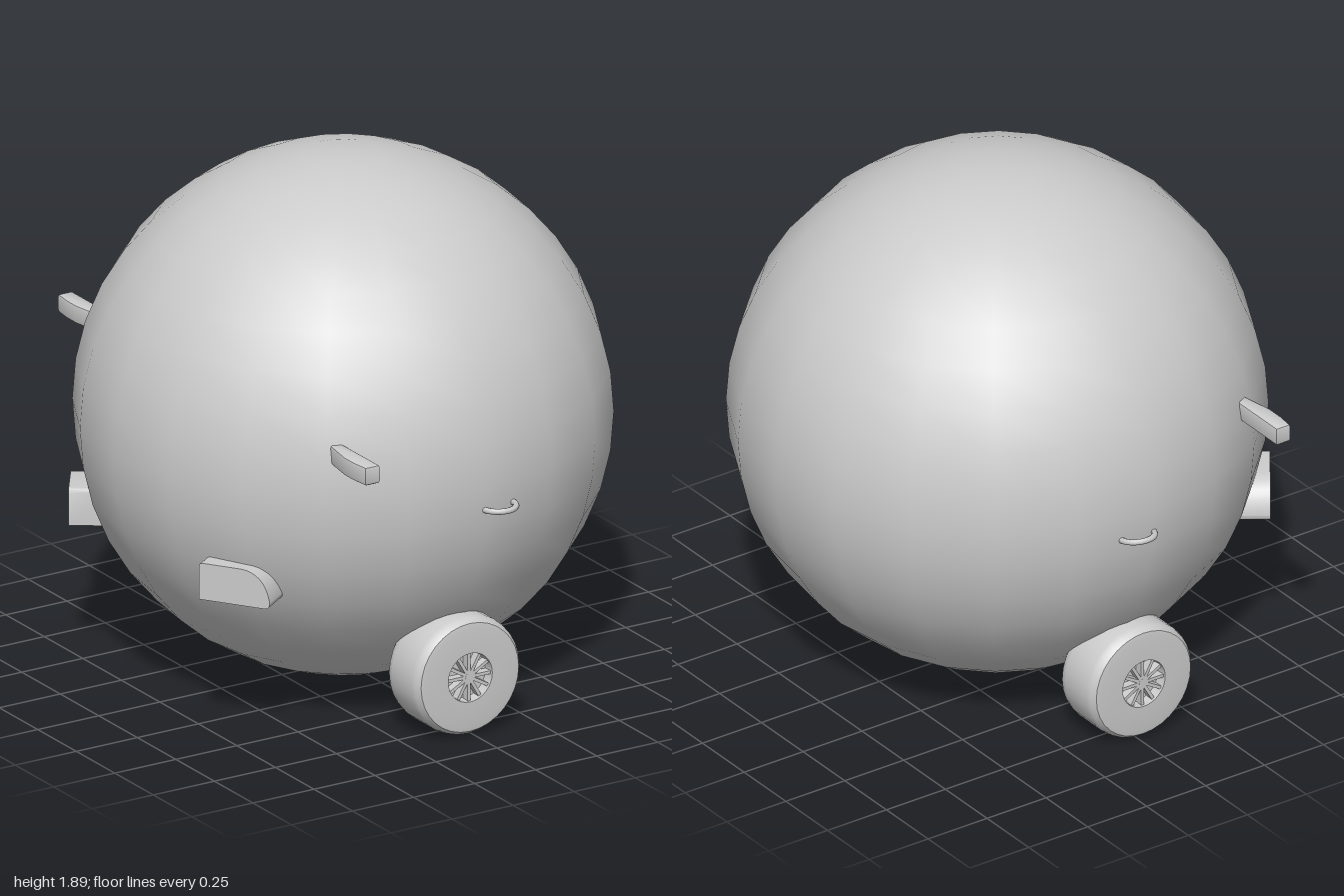
import * as THREE from 'three';
import { toCreasedNormals } from 'three/addons/utils/BufferGeometryUtils.js';

const material = new THREE.MeshStandardMaterial({ color: 0xcccccc });

function add(parent, name, geometry) {
  const mesh = new THREE.Mesh(geometry, material);
  mesh.name = name;
  parent.add(mesh);
  return mesh;
}

// Tyre with rounded shoulders and a recessed hub with spokes; axis along local z
function makeWheel() {
  const wheel = new THREE.Group();
  wheel.name = 'wheel';
  const profile = [
    [0, 0.645], [0.18, 0.645], [0.2, 0.65], [0.213, 0.665], [0.2175, 0.69],
    [0.2175, 0.815], [0.213, 0.835], [0.2, 0.852], [0.18, 0.855],
    [0.09, 0.855], [0.086, 0.815], [0, 0.815],
  ].map(([r, z]) => new THREE.Vector2(r, z));
  const tyre = new THREE.LatheGeometry(profile, 32).rotateX(Math.PI / 2);
  add(wheel, 'tyre', toCreasedNormals(tyre, 0.7));

  const cap = new THREE.CylinderGeometry(0.015, 0.022, 0.035, 12).rotateX(Math.PI / 2);
  add(wheel, 'hubCap', cap).position.z = 0.83;
  const count = 12;
  for (let i = 0; i < count; i++) {
    const spoke = new THREE.BoxGeometry(0.075, 0.012, 0.03).translate(0.0505, 0, 0.832);
    add(wheel, 'spoke', spoke.rotateZ((i / count) * Math.PI * 2));
  }
  return wheel;
}

// Lamp: a slab with a rounded end, set against the lower part of the ball
function makeLamp(s) {
  const shape = new THREE.Shape();
  shape.moveTo(-0.13 * s, 0);
  shape.lineTo(0.12 * s, 0);
  shape.quadraticCurveTo(0.14 * s, 0.005, 0.135 * s, 0.03);
  shape.quadraticCurveTo(0.115 * s, 0.13, 0.03 * s, 0.135);
  shape.lineTo(-0.115 * s, 0.135);
  shape.quadraticCurveTo(-0.13 * s, 0.135, -0.13 * s, 0.12);
  shape.closePath();
  const geometry = new THREE.ExtrudeGeometry(shape, {
    depth: 0.13, bevelEnabled: false, curveSegments: 8,
  });
  geometry.translate(0, 0, -0.13);
  geometry.rotateY(Math.atan2(-0.82, 0.57 * s));
  return toCreasedNormals(geometry.translate(-0.783, 0.54, 0.53 * s), 0.6);
}

// Side mirror: flat on one face, bulging on the other
function makeMirror(s) {
  const outline = [
    [-0.487, 0.74], [-0.487, 0.99], [-0.53, 0.99], [-0.537, 0.93],
    [-0.537, 0.87], [-0.527, 0.81], [-0.515, 0.74],
  ].map(([x, z]) => new THREE.Vector2(x, -z * s));
  const geometry = new THREE.ExtrudeGeometry(new THREE.Shape(outline), {
    depth: 0.045, bevelSize: 0.008, bevelThickness: 0.012, bevelSegments: 2,
  });
  geometry.rotateX(-Math.PI / 2).translate(0, 1.09, 0);
  return toCreasedNormals(geometry, 0.6);
}

export function createModel() {
  const model = new THREE.Group();
  model.name = 'ballCar';

  add(model, 'body', new THREE.SphereGeometry(0.94, 20, 20)).position.y = 0.95;

  const axle = new THREE.CylinderGeometry(0.075, 0.075, 1.4, 20).rotateX(Math.PI / 2);
  add(model, 'axle', axle).position.set(-0.018, 0.225, 0);

  for (const s of [1, -1]) {
    const wheel = makeWheel();
    wheel.position.set(-0.018, 0.2175, 0);
    if (s < 0) wheel.rotation.y = Math.PI;
    model.add(wheel);

    add(model, 'lamp', makeLamp(s));
    add(model, 'sideMirror', makeMirror(s));

    // Looped door handle
    const handle = new THREE.TorusGeometry(0.063, 0.011, 8, 28).rotateX(Math.PI / 2);
    const loop = add(model, 'doorHandle', handle);
    loop.position.set(0.056, 0.861, 0.917 * s);
    if (s < 0) loop.rotation.x = 0.15;
  }
  return model;
}
